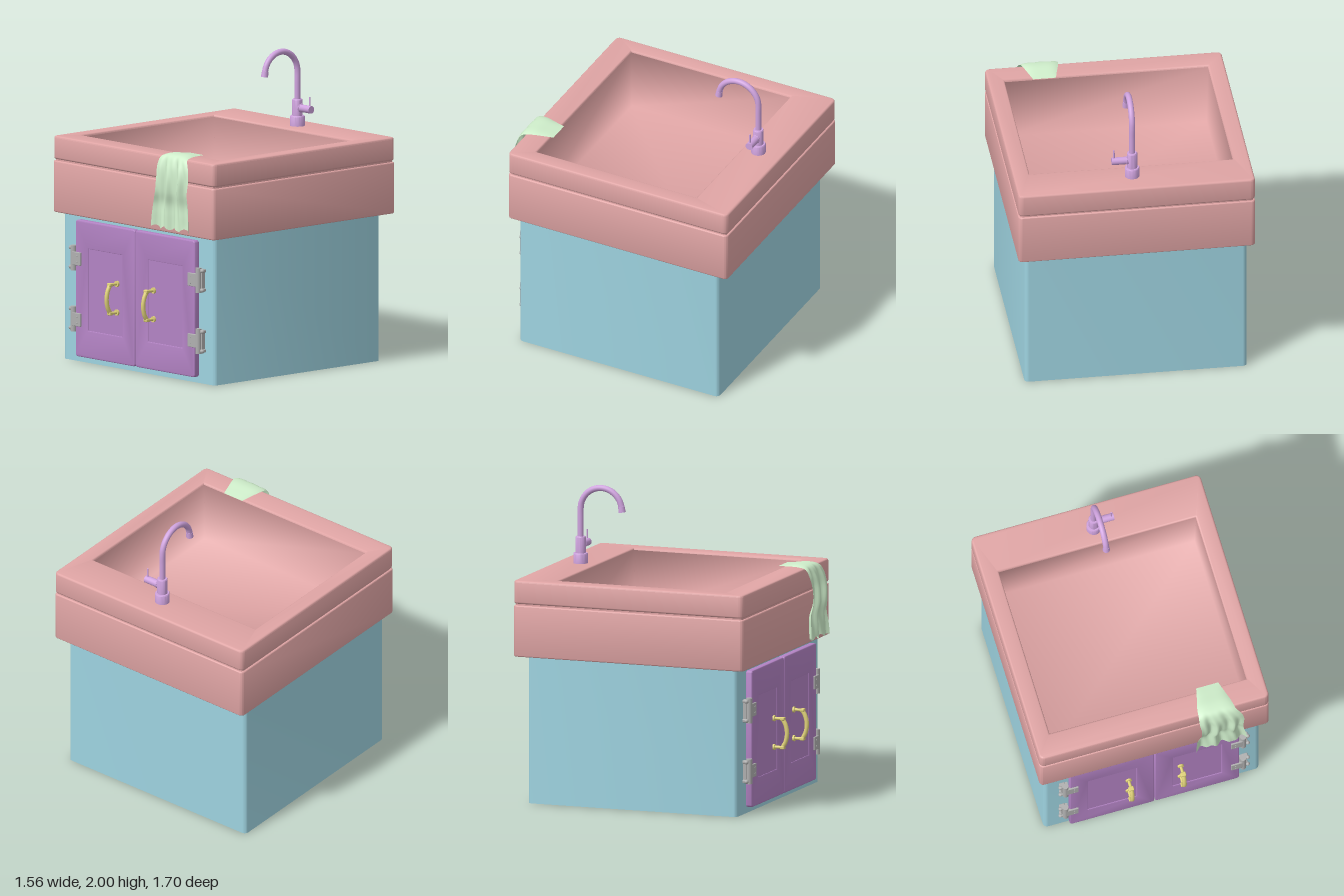
import * as THREE from 'three';
import { mergeVertices, toCreasedNormals } from 'three/addons/utils/BufferGeometryUtils.js';
import { RoundedBoxGeometry } from 'three/addons/geometries/RoundedBoxGeometry.js';

const mat = (color, side = THREE.FrontSide) => new THREE.MeshStandardMaterial({ color, side });
const PINK = mat(0xe0a5a5), BLUE = mat(0x9ed3e0), PURPLE = mat(0xb383c4), YELLOW = mat(0xe0d27a);
const GREY = mat(0xb0b0b0), LILAC = mat(0xcfa3de), GREEN = mat(0xcfeecb, THREE.DoubleSide);

function add(parent, name, geometry, material, x = 0, y = 0, z = 0) {
  const mesh = new THREE.Mesh(geometry, material);
  mesh.name = name;
  mesh.position.set(x, y, z);
  parent.add(mesh);
  return mesh;
}

// Rounded rectangle outline
function roundRect(path, x0, y0, x1, y1, r) {
  path.moveTo(x0 + r, y0);
  path.lineTo(x1 - r, y0);
  path.absarc(x1 - r, y0 + r, r, -Math.PI / 2, 0, false);
  path.lineTo(x1, y1 - r);
  path.absarc(x1 - r, y1 - r, r, 0, Math.PI / 2, false);
  path.lineTo(x0 + r, y1);
  path.absarc(x0 + r, y1 - r, r, Math.PI / 2, Math.PI, false);
  path.lineTo(x0, y0 + r);
  path.absarc(x0 + r, y0 + r, r, Math.PI, Math.PI * 1.5, false);
  return path;
}

// Frame with optional hole, bevelled, extruded from depth 0 to `depth`
function frame(outer, r, hole, holeR, depth, bevel) {
  const b = bevel;
  const shape = roundRect(new THREE.Shape(), outer[0] + b, outer[1] + b, outer[2] - b, outer[3] - b, r);
  if (hole) shape.holes.push(roundRect(new THREE.Path(), hole[0] - b, hole[1] - b, hole[2] + b, hole[3] + b, holeR));
  const g = new THREE.ExtrudeGeometry(shape, {
    depth: depth - 2 * b, curveSegments: 6, bevelEnabled: b > 0,
    bevelSize: b, bevelThickness: b, bevelSegments: 3,
  });
  g.translate(0, 0, b);
  return toCreasedNormals(g, 0.7);
}

// Same frame lying flat; bounds are [x0, z0, x1, z1], raised from y0 to y1
function flatFrame(b, r, h, holeR, y0, y1, bevel) {
  const flip = (q) => q && [q[0], -q[3], q[2], -q[1]];
  return frame(flip(b), r, flip(h), holeR, y1 - y0, bevel).rotateX(-Math.PI / 2).translate(0, y0, 0);
}

function makeSink() {
  const g = new THREE.Group();
  g.name = 'sink';
  const hole = [-0.67, -0.57, 0.67, 0.6];
  add(g, 'rimSlab', flatFrame([-0.78, -0.85, 0.78, 0.76], 0.02, hole, 0.012, 1.322, 1.475, 0.013), PINK);
  add(g, 'rimGroove', flatFrame([-0.768, -0.838, 0.768, 0.748], 0.02, hole, 0.012, 1.3, 1.33, 0), PINK);
  add(g, 'apron', flatFrame([-0.78, -0.85, 0.78, 0.76], 0.02, [-0.69, -0.59, 0.69, 0.62], 0.01, 0.972, 1.312, 0.008), PINK);
  add(g, 'underside', new THREE.BoxGeometry(1.5, 0.02, 1.5), PINK, 0, 0.99, -0.045);

  // Basin: inside-out box without its lid, with blended normals
  const box = new THREE.BoxGeometry(1.34, 0.41, 1.17).scale(-1, 1, 1);
  const index = Array.from(box.index.array).filter((_, i) => i < 12 || i >= 18);
  box.setIndex(index);
  box.deleteAttribute('normal');
  box.deleteAttribute('uv');
  const p = box.attributes.position;
  for (let i = 0; i < p.count; i++) {
    if (p.getY(i) < 0) p.setXYZ(i, p.getX(i) * 0.985, p.getY(i), p.getZ(i) * 0.985);
  }
  const basin = mergeVertices(box);
  basin.computeVertexNormals();
  add(g, 'basin', basin, PINK, 0, 1.255, 0.015);
  return g;
}

function makeHandle() {
  const g = new THREE.Group();
  g.name = 'handle';
  for (const s of [-1, 1]) {
    add(g, 'handleFlange', new THREE.CylinderGeometry(0.02, 0.02, 0.012, 16).rotateX(Math.PI / 2), YELLOW, 0, s * 0.095, 0.004);
    add(g, 'handleStem', new THREE.CylinderGeometry(0.01, 0.01, 0.055, 12).rotateX(Math.PI / 2), YELLOW, 0, s * 0.095, 0.03);
    add(g, 'handleEnd', new RoundedBoxGeometry(0.036, 0.022, 0.03, 2, 0.006), YELLOW, 0, s * 0.095, 0.064);
  }
  const curve = new THREE.CatmullRomCurve3([[-0.095, 0.062], [-0.055, 0.084], [0, 0.094], [0.055, 0.084], [0.095, 0.062]]
    .map(([y, z]) => new THREE.Vector3(0, y, z)));
  add(g, 'handleGrip', new THREE.TubeGeometry(curve, 20, 0.0145, 12), YELLOW);
  return g;
}

// Hinge with its door leaf toward -x and its cabinet knobs toward +x
function makeHinge() {
  const g = new THREE.Group();
  g.name = 'hinge';
  add(g, 'hingeLeaf', new RoundedBoxGeometry(0.09, 0.088, 0.018, 2, 0.004), GREY, -0.02, 0, 0.046);
  add(g, 'hingeBarrel', new THREE.CylinderGeometry(0.02, 0.02, 0.165, 16), GREY, 0.02, 0, 0.036);
  add(g, 'hingeBack', new THREE.BoxGeometry(0.045, 0.13, 0.03), GREY, 0.022, 0, 0.013);
  for (const s of [-1, 1]) {
    add(g, 'hingeArm', new RoundedBoxGeometry(0.04, 0.022, 0.04, 2, 0.006), GREY, 0.037, s * 0.064, 0.02);
    add(g, 'hingeKnob', new THREE.SphereGeometry(0.014, 12, 8), GREY, 0.053, s * 0.064, 0.03);
    add(g, 'hingeScrew', new THREE.SphereGeometry(0.005, 8, 6), GREY, -0.035, s * 0.02, 0.055);
  }
  return g;
}

function makeDoor(side) {
  const g = new THREE.Group();
  g.name = side > 0 ? 'leftDoor' : 'rightDoor';
  const panel = [-0.165, -0.27, 0.165, 0.27];
  add(g, 'doorFrame', frame([-0.287, -0.452, 0.287, 0.452], 0.012, panel, 0.002, 0.045, 0.008), PURPLE);
  add(g, 'doorPanel', new THREE.BoxGeometry(0.345, 0.555, 0.034), PURPLE, 0, 0, 0.021);
  const handle = makeHandle();
  handle.position.set(-side * 0.112, -0.02, 0.04);
  g.add(handle);
  for (const y of [0.195, -0.208]) {
    const hinge = makeHinge();
    hinge.position.set(side * 0.295, y, 0);
    if (side < 0) {
      // Turned half round about z, as the hinge is symmetric top to bottom
      hinge.rotation.z = Math.PI;
    }
    g.add(hinge);
  }
  g.position.set(0.003 + side * 0.289, 0.492, 0.7);
  return g;
}

function makeFaucet() {
  const g = new THREE.Group();
  g.name = 'faucet';
  const profile = [[0, 0], [0.048, 0], [0.048, 0.062], [0.044, 0.068], [0.034, 0.068], [0.034, 0.172], [0.03, 0.178], [0, 0.178]];
  const body = new THREE.LatheGeometry(profile.map(([x, y]) => new THREE.Vector2(x, y)), 24);
  add(g, 'faucetBody', toCreasedNormals(body, 0.6), LILAC);
  // Riser and gooseneck
  const pts = [[0, 0.15], [0, 0.22], [0, 0.29]];
  for (let i = 0; i <= 10; i++) {
    const a = Math.PI * 0.93 * i / 10;
    pts.push([0.145 - 0.145 * Math.cos(a), 0.36 + 0.145 * Math.sin(a)]);
  }
  const curve = new THREE.CatmullRomCurve3(pts.map(([z, y]) => new THREE.Vector3(0, y, z)));
  add(g, 'spout', new THREE.TubeGeometry(curve, 60, 0.02, 16), LILAC);
  const tip = add(g, 'nozzle', new THREE.CylinderGeometry(0.021, 0.024, 0.04, 16), LILAC, 0, 0.373, 0.288);
  tip.rotation.x = -0.15;
  // Side lever
  add(g, 'leverHub', new THREE.CylinderGeometry(0.025, 0.025, 0.11, 20).rotateZ(Math.PI / 2), LILAC, 0.08, 0.12, 0);
  add(g, 'leverCollar', new THREE.TorusGeometry(0.025, 0.004, 8, 20).rotateY(Math.PI / 2), LILAC, 0.036, 0.12, 0);
  add(g, 'leverPin', new THREE.CylinderGeometry(0.005, 0.006, 0.085, 10), LILAC, 0.12, 0.162, 0);
  g.position.set(0.01, 1.475, -0.685);
  return g;
}

// Cloth draped over the front rim: rows follow a side path and widen downward
function makeTowel() {
  // z, y, left edge, right edge
  const rows = [
    [0.575, 1.482, 0.335, 0.485], [0.64, 1.492, 0.32, 0.505], [0.72, 1.5, 0.3, 0.53], [0.78, 1.485, 0.294, 0.545],
    [0.808, 1.43, 0.292, 0.575], [0.82, 1.35, 0.3, 0.592], [0.822, 1.25, 0.295, 0.585],
    [0.81, 1.17, 0.27, 0.588], [0.815, 1.09, 0.262, 0.6], [0.82, 1.015, 0.258, 0.608],
  ];
  const path = new THREE.CatmullRomCurve3(rows.map(([z, y]) => new THREE.Vector3(0, y, z)));
  const edge = new THREE.CatmullRomCurve3(rows.map(([, y, l, r]) => new THREE.Vector3(l, y, r)));
  const g = new THREE.PlaneGeometry(1, 1, 32, 48);
  const p = g.attributes.position;
  for (let i = 0; i < p.count; i++) {
    const u = p.getX(i) + 0.5, v = 0.5 - p.getY(i);
    const c = path.getPoint(v), e = edge.getPoint(v);
    const hang = THREE.MathUtils.smoothstep(v, 0.25, 0.6);
    const fold = hang * (0.012 * Math.sin(u * 17 + v * 2) + 0.007 * Math.sin(u * 31 - v * 5));
    const hem = v > 0.95 ? (v - 0.95) * 0.2 * Math.sin(u * 24) : 0;
    p.setXYZ(i, THREE.MathUtils.lerp(e.x, e.z, u), c.y + hem - 0.012 * (1 - hang) * (2 * u - 1) ** 4 * Math.min(1, v * 5), c.z + fold);
  }
  g.computeVertexNormals();
  const mesh = new THREE.Mesh(g, GREEN);
  mesh.name = 'towel';
  return mesh;
}

export function createModel() {
  const model = new THREE.Group();
  model.name = 'washStand';
  // Cabinet walls, open underneath
  add(model, 'cabinet', flatFrame([-0.738, -0.762, 0.728, 0.702], 0.03, [-0.725, -0.749, 0.715, 0.689], 0.02, 0, 0.98, 0), BLUE);
  model.add(makeSink(), makeDoor(-1), makeDoor(1), makeFaucet(), makeTowel());
  return model;
}
